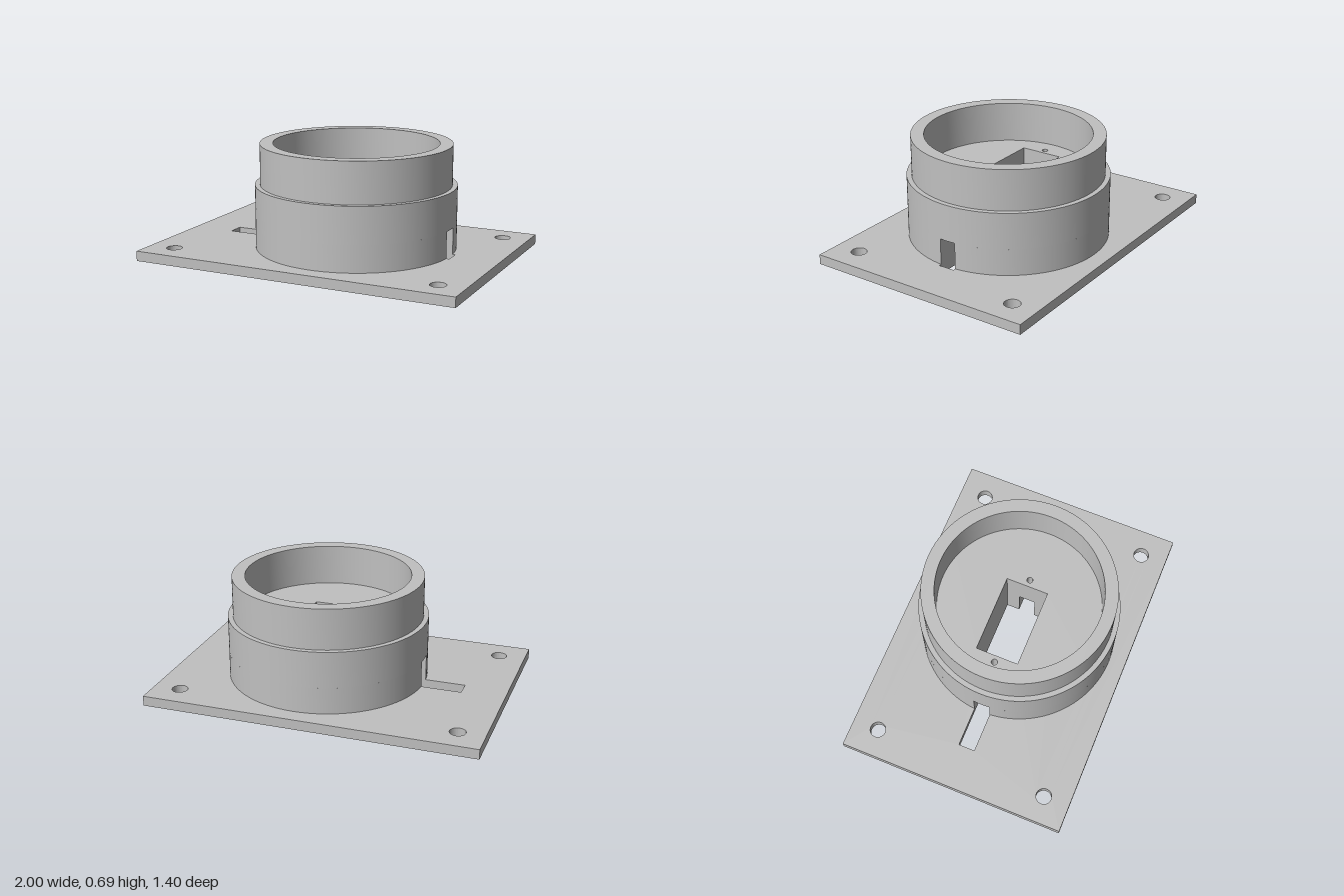
import * as THREE from 'three';
import { toCreasedNormals } from 'three/addons/utils/BufferGeometryUtils.js';

const CX = 0.1;                                   // axis of the round housing
const POCKET = { x0: -0.25, x1: 0.225, z: 0.13 }; // rectangular opening
const SLOT = { x0: -0.74, x1: 0.715, z: 0.05 };   // cable channel

const polygon = (points, Type = THREE.Path) =>
  new Type(points.map(([x, y]) => new THREE.Vector2(x, y)));

const circle = (x, y, r, Type = THREE.Path) => new Type().absarc(x, y, r, 0, Math.PI * 2, false);

export function createModel() {
  const model = new THREE.Group();
  model.name = 'flangedHousing';
  const grey = new THREE.MeshStandardMaterial({ color: 0xc0c0c0 });
  grey.name = 'grey';

  // Extrudes a plan outline upwards from y0 to y1
  function addSlab(name, shape, y0, y1) {
    const extruded = new THREE.ExtrudeGeometry(shape, {
      depth: y1 - y0, bevelEnabled: false, curveSegments: 96,
    });
    extruded.rotateX(-Math.PI / 2).translate(0, y0, 0);
    const mesh = new THREE.Mesh(toCreasedNormals(extruded, 0.5), grey);
    mesh.name = name;
    model.add(mesh);
  }

  const { x0, x1, z } = POCKET;
  const pocket = () => polygon([[x0, -z], [x1, -z], [x1, z], [x0, z]]);

  // Base plate: corner holes, plus pocket and channel joined in one cut-out
  const plate = polygon([[-1, -0.7], [1, -0.7], [1, 0.7], [-1, 0.7]], THREE.Shape);
  for (const sx of [-1, 1]) for (const sz of [-1, 1]) {
    plate.holes.push(circle(sx * 0.84, sz * 0.54, 0.047));
  }
  const s = SLOT.z;
  plate.holes.push(polygon([
    [SLOT.x0, -s], [x0, -s], [x0, -z], [x1, -z], [x1, -s], [SLOT.x1, -s],
    [SLOT.x1, s], [x1, s], [x1, z], [x0, z], [x0, s], [SLOT.x0, s],
  ]));
  addSlab('basePlate', plate, 0, 0.06);

  // Lower housing: two mirrored halves either side of the channel
  const a = Math.asin(s / 0.6);
  for (const side of [1, -1]) {
    const half = new THREE.Shape();
    half.absarc(CX, 0, 0.6, side * a, side * (Math.PI - a), side < 0);
    half.lineTo(x0, side * s);
    half.lineTo(x0, side * z);
    half.lineTo(x1, side * z);
    half.lineTo(x1, side * s);
    half.closePath();
    addSlab(side > 0 ? 'backHousingHalf' : 'frontHousingHalf', half, 0.06, 0.22);
  }

  // Upper housing: solid floor with pocket and two screw holes
  const floor = circle(CX, 0, 0.6, THREE.Shape);
  floor.holes.push(pocket(), circle(-0.29, 0, 0.018), circle(0.267, 0, 0.018));
  addSlab('housingFloor', floor, 0.22, 0.44);

  // Stepped-in collar
  const collar = circle(CX, 0, 0.57, THREE.Shape);
  collar.holes.push(circle(CX, 0, 0.492));
  addSlab('collar', collar, 0.44, 0.685);

  return model;
}
